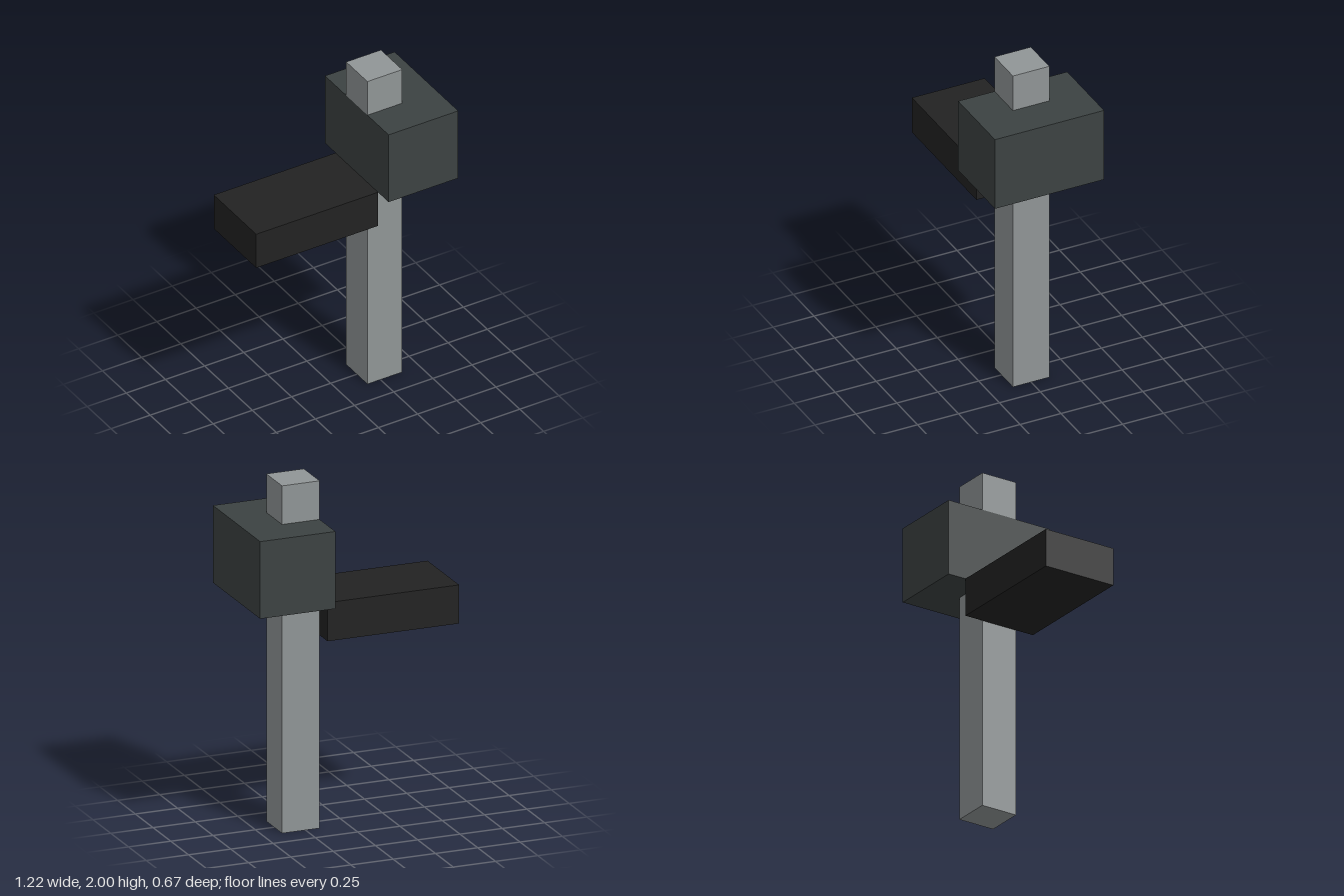
import * as THREE from 'three';

export function createModel() {
  const group = new THREE.Group();
  const material = (name, color) => {
    const m = new THREE.MeshStandardMaterial({ color });
    m.name = name;
    return m;
  };
  const lightGrey = material('light grey', 0x909596);
  const slate = material('slate', 0x3c4242);
  const black = material('black', 0x222222);

  // All sizes are whole or half steps of one ninth
  const u = 1 / 9;
  const box = (name, mat, [x0, x1], [y0, y1], depth) => {
    const geometry = new THREE.BoxGeometry((x1 - x0) * u, (y1 - y0) * u, depth * u);
    const mesh = new THREE.Mesh(geometry, mat);
    mesh.name = name;
    mesh.position.set(((x0 + x1) / 2) * u, ((y0 + y1) / 2) * u, 0);
    group.add(mesh);
  };

  // Post, in two lengths below and above the head block
  box('handle', lightGrey, [1.5, 3.5], [0, 12], 2);
  box('handleTip', lightGrey, [1.5, 3.5], [16, 18], 2);

  // Heavy block around the post, flush with its -x side
  box('headBlock', slate, [1.5, 5.5], [12, 16], 6);

  // Flat arm reaching out below the block
  box('sideArm', black, [-5.5, 1.5], [10, 12], 4);

  return group;
}
